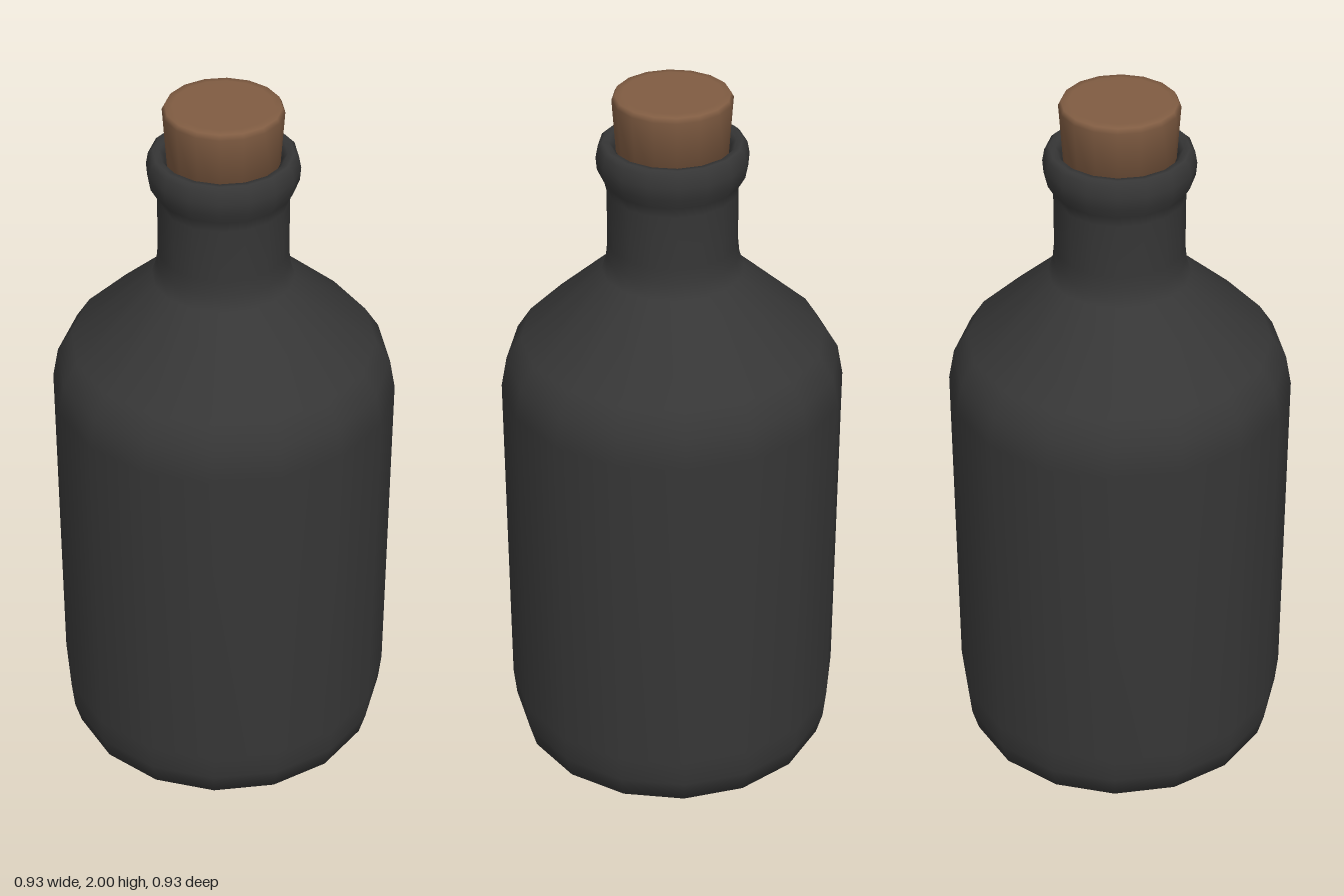
import * as THREE from 'three';

const SIDES = 16;

// Turned part from [radius, height] pairs, bottom to top
function turned(name, profile, material) {
  const points = profile.map(([r, y]) => new THREE.Vector2(r, y));
  const mesh = new THREE.Mesh(new THREE.LatheGeometry(points, SIDES), material);
  mesh.name = name;
  return mesh;
}

export function createModel() {
  const glass = new THREE.MeshStandardMaterial({ color: 0x363636 });
  glass.name = 'dark glass';
  const corkBrown = new THREE.MeshStandardMaterial({ color: 0x805c42 });
  corkBrown.name = 'cork brown';

  const group = new THREE.Group();
  group.name = 'corkedBottle';

  // Base, straight body, sloping shoulder, neck and rolled lip
  group.add(turned('bottle', [
    [0, 0], [0.37, 0.005], [0.44, 0.035], [0.458, 0.1], [0.466, 0.18],
    [0.466, 1.15], [0.45, 1.235], [0.41, 1.297],
    [0.19, 1.497], [0.177, 1.54], [0.173, 1.58],
    [0.173, 1.73], [0.18, 1.76], [0.197, 1.79], [0.2, 1.825], [0.194, 1.857],
    [0.182, 1.868], [0.165, 1.866], [0.152, 1.85], [0.147, 1.8],
  ], glass));

  // Tapered stopper with a slightly softened rim
  group.add(turned('cork', [
    [0, 1.78], [0.143, 1.78], [0.157, 1.985], [0.15, 1.998], [0.13, 2], [0, 2],
  ], corkBrown));

  return group;
}
